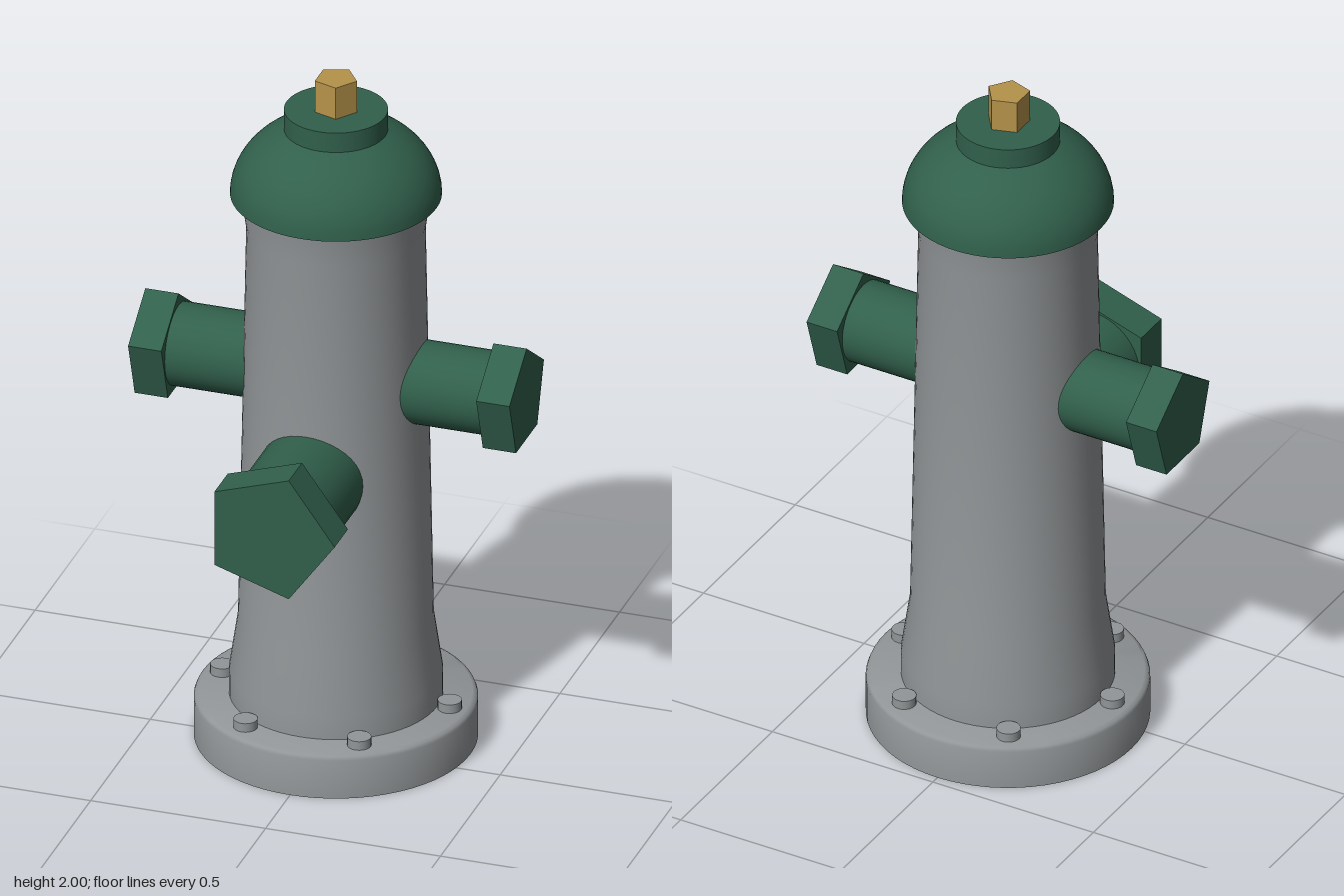
import * as THREE from 'three';
import { toCreasedNormals } from 'three/addons/utils/BufferGeometryUtils.js';

const AXIS_Z = -0.09; // the barrel sits behind the origin, balancing the front outlet

function createMaterial(name, color) {
  const material = new THREE.MeshStandardMaterial({ color });
  material.name = name;
  return material;
}

function lathe(points, crease = 0.6) {
  const profile = points.map(([r, y]) => new THREE.Vector2(r, y));
  return toCreasedNormals(new THREE.LatheGeometry(profile, 64), crease);
}

// Five-sided prism along y with hard edges and one corner towards +x
function pentagon(radius, height) {
  const geometry = new THREE.CylinderGeometry(radius, radius, height, 5).rotateY(Math.PI / 2);
  return toCreasedNormals(geometry, 0.3);
}

export function createModel() {
  const iron = createMaterial('grey iron', 0x929698);
  const green = createMaterial('green paint', 0x31604c);
  const brass = createMaterial('brass', 0xb5934a);

  const model = new THREE.Group();
  model.name = 'hydrant';
  const body = new THREE.Group();
  body.name = 'body';
  body.position.z = AXIS_Z;
  model.add(body);

  function add(parent, name, geometry, material, x = 0, y = 0, z = 0) {
    const mesh = new THREE.Mesh(geometry, material);
    mesh.name = name;
    mesh.position.set(x, y, z);
    parent.add(mesh);
    return mesh;
  }

  // Base flange with softened top edge
  add(body, 'baseFlange', lathe([
    [0, 0], [0.385, 0], [0.385, 0.115], [0.381, 0.125], [0.37, 0.13], [0, 0.13],
  ], 0.9), iron);

  // Ring of six bolts
  const boltGeometry = new THREE.CylinderGeometry(0.033, 0.033, 0.035, 20);
  for (let i = 0; i < 6; i++) {
    const a = (i * Math.PI) / 3;
    add(body, 'flangeBolt', boltGeometry, iron, 0.325 * Math.cos(a), 0.1385, 0.325 * Math.sin(a));
  }

  // Tapered barrel with flared foot and neck
  add(body, 'barrel', lathe([
    [0.29, 0.125], [0.29, 0.2], [0.265, 0.37], [0.243, 1.55], [0.26, 1.66], [0, 1.66],
  ]), iron);

  // Bonnet: a closed, slightly flattened dome
  const dome = [[0, 1.65], [0.287, 1.65]];
  for (let i = 1; i <= 16; i++) {
    const a = (i / 16) * (Math.PI / 2);
    dome.push([i === 16 ? 0 : 0.287 * Math.cos(a), 1.65 + 0.225 * Math.sin(a)]);
  }
  add(body, 'bonnet', lathe(dome), green);
  add(body, 'bonnetCollar', new THREE.CylinderGeometry(0.141, 0.141, 0.085, 48), green, 0, 1.8625, 0);
  add(body, 'operatingNut', pentagon(0.06, 0.1), brass, 0, 1.95, 0);

  // Outlet built along +y: pipe from the barrel axis, then a five-sided cap
  function outlet(name, pipeRadius, capRadius, capStart, capEnd) {
    const group = new THREE.Group();
    group.name = name;
    const pipe = new THREE.CylinderGeometry(pipeRadius, pipeRadius, capStart - 0.1, 40);
    add(group, 'outletPipe', pipe, green, 0, (capStart + 0.1) / 2, 0);
    add(group, 'outletCap', pentagon(capRadius, capEnd - capStart), green, 0, (capStart + capEnd) / 2, 0);
    body.add(group);
    return group;
  }

  // Side outlets, cap corner pointing up
  for (const side of [1, -1]) {
    const hose = outlet(side > 0 ? 'leftOutlet' : 'rightOutlet', 0.116, 0.152, 0.45, 0.545);
    hose.position.y = 1.113;
    hose.rotation.z = (-side * Math.PI) / 2;
    hose.children[1].rotation.y = side > 0 ? Math.PI : 0;
  }

  // Large front outlet, cap corner pointing to +x
  const front = outlet('frontOutlet', 0.148, 0.19, 0.367 - AXIS_Z, 0.478 - AXIS_Z);
  front.position.y = 0.88;
  front.rotation.x = Math.PI / 2;

  return model;
}
